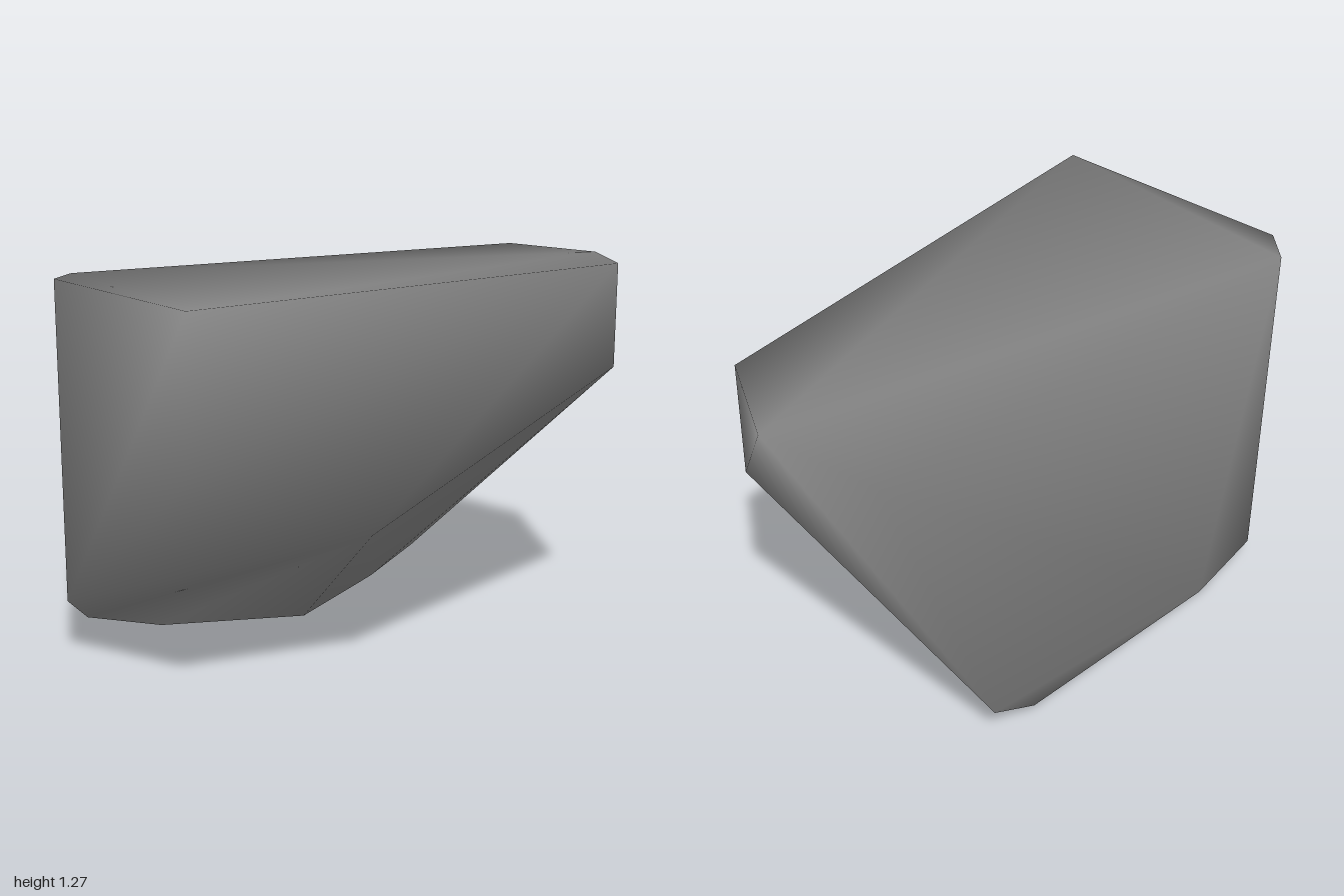
import * as THREE from 'three';
import { ConvexGeometry } from 'three/addons/geometries/ConvexGeometry.js';
import { mergeVertices } from 'three/addons/utils/BufferGeometryUtils.js';

export function createModel() {
  const group = new THREE.Group();
  group.name = 'rock';
  const stone = new THREE.MeshStandardMaterial({ color: 0x808080 });
  stone.name = 'grey stone';

  const corners = [
    // flat top outline
    [-1, 1.27, 0.515], [0.81, 1.27, 0.26], [1, 1.27, -0.08],
    [0.94, 1.27, -0.515], [-0.89, 1.27, -0.515], [-1, 1.27, -0.4],
    // sloping front and sides
    [-1, 0.77, 0.485], [-0.28, 0.48, 0.36], [0.83, 0.9, 0.23], [-1, 0.19, -0.4],
    // underside, mostly along the flat back
    [-0.14, 0.01, -0.3], [0.48, 0.13, -0.515], [0.29, 0.035, -0.515],
    [-0.6, 0, -0.515], [-0.88, 0.08, -0.515],
  ].map((p) => new THREE.Vector3(...p));

  // weld the hull so the shading runs smoothly over all edges
  const hull = new ConvexGeometry(corners);
  hull.deleteAttribute('normal');
  const geometry = mergeVertices(hull, 1e-4);
  geometry.computeVertexNormals();

  const body = new THREE.Mesh(geometry, stone);
  body.name = 'rockBody';
  group.add(body);
  return group;
}
